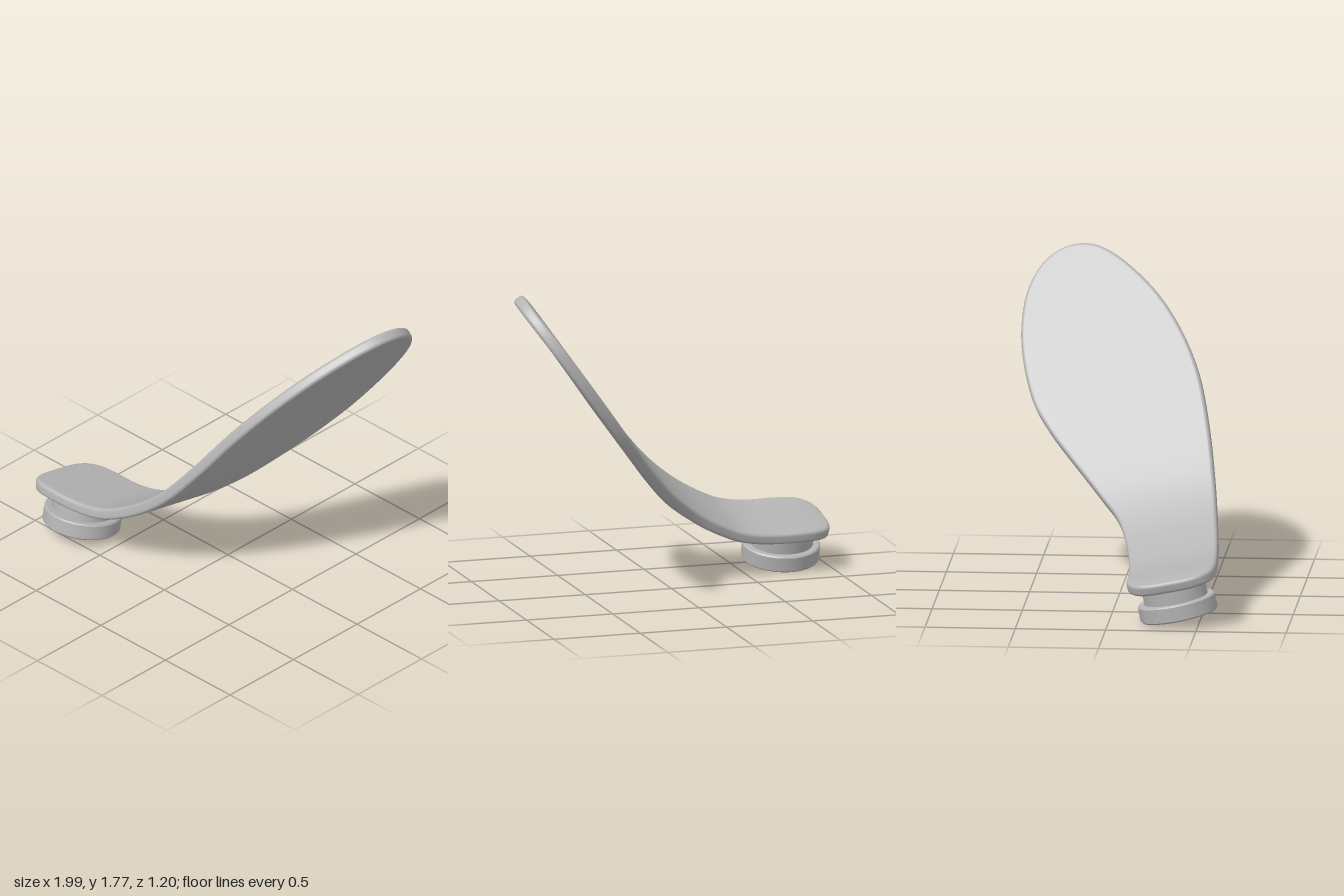
import * as THREE from 'three';
import { mergeVertices } from 'three/addons/utils/BufferGeometryUtils.js';

const TILT = 0.203;      // sideways slope of the whole part
const THICK = 0.066;     // plate thickness
const FILLET = 0.02;     // rounding of the plate rim

// Bend of the plate: height along its length
const BEND = [[-1.2, 0.225], [-0.8, 0.225], [-0.62, 0.226], [-0.5, 0.241], [-0.4, 0.272], [-0.2, 0.386],
  [0, 0.558], [0.2, 0.805], [0.4, 1.089], [0.6, 1.373], [0.8, 1.65], [0.95, 1.847], [1.1, 2.04]];

// Plan outline of the upper face, from the narrow end along the front to the tip and back
const OUTLINE = [[-1, 0.35], [-0.995, 0.46], [-0.965, 0.53], [-0.9, 0.575], [-0.8, 0.588], [-0.6, 0.582],
  [-0.4, 0.57], [-0.2, 0.55], [0, 0.522], [0.2, 0.478], [0.38, 0.415], [0.5, 0.345], [0.6, 0.265],
  [0.7, 0.165], [0.8, 0.035], [0.89, -0.11], [0.935, -0.22], [0.948, -0.32], [0.935, -0.42],
  [0.89, -0.51], [0.8, -0.58], [0.68, -0.602], [0.55, -0.58], [0.4, -0.51], [0.3, -0.42], [0.2, -0.31],
  [0.1, -0.2], [0, -0.1], [-0.1, -0.015], [-0.2, 0.032], [-0.4, 0.078], [-0.6, 0.094], [-0.8, 0.096],
  [-0.9, 0.115], [-0.965, 0.16], [-0.995, 0.235]];

// Smooth height of the bend at x
function bend(x) {
  let k = 1;
  while (k < BEND.length - 3 && x > BEND[k + 1][0]) k++;
  const slope = (i) => (BEND[i + 1][1] - BEND[i - 1][1]) / (BEND[i + 1][0] - BEND[i - 1][0]);
  const [x0, y0] = BEND[k], [x1, y1] = BEND[k + 1];
  const h = x1 - x0, t = (x - x0) / h, t2 = t * t, t3 = t2 * t;
  return y0 * (2 * t3 - 3 * t2 + 1) + y1 * (3 * t2 - 2 * t3)
    + h * (slope(k) * (t3 - 2 * t2 + t) + slope(k + 1) * (t3 - t2));
}
const bendSlope = (x) => (bend(x + 0.01) - bend(x - 0.01)) / 0.02;

// Point at a given depth below the upper face
function lift(x, z, depth) {
  const n = new THREE.Vector3(-bendSlope(x), 1, -TILT).normalize();
  return new THREE.Vector3(x, bend(x) + TILT * z, z).addScaledVector(n, -depth);
}

function plateGeometry() {
  const HALF = 80, N = HALF * 2, ACROSS = 12, ROUND = 5;
  const curve = new THREE.CatmullRomCurve3(OUTLINE.map(([x, z]) => new THREE.Vector3(x, 0, z)), true);
  curve.arcLengthDivisions = 800;
  const ring = curve.getSpacedPoints(N).slice(0, N);

  // Outline moved inward, measured along the bent surface
  const inset = (i, d) => {
    const p = ring[i % N], a = ring[(i + N - 1) % N], b = ring[(i + 1) % N];
    const tx = b.x - a.x, tz = b.z - a.z, l = Math.hypot(tx, tz);
    return [p.x + (d * tz / l) / Math.hypot(1, bendSlope(p.x)), p.z - d * tx / l];
  };

  // Rounded rim section as [inset, depth]
  const rim = [];
  for (let k = 0; k <= ROUND; k++) {
    const a = (k / ROUND) * Math.PI / 2;
    rim.push([FILLET * (1 - Math.sin(a)), FILLET * (1 - Math.cos(a))]);
  }
  for (let k = ROUND; k >= 0; k--) rim.push([rim[k][0], THICK - rim[k][1]]);

  const pos = [], index = [];
  const add = (v) => pos.push(v.x, v.y, v.z);
  const quad = (a, b, c, d) => index.push(a, b, c, a, c, d);

  for (const [d, depth] of rim) {
    for (let i = 0; i < N; i++) add(lift(...inset(i, d), depth));
  }
  for (let j = 0; j < rim.length - 1; j++) {
    for (let i = 0; i < N; i++) {
      const a = j * N + i, b = j * N + (i + 1) % N;
      quad(a, a + N, b + N, b);
    }
  }

  // Upper and lower faces, spanned between the two long sides
  for (const depth of [0, THICK]) {
    const base = pos.length / 3, row = ACROSS + 1;
    for (let i = 0; i <= HALF; i++) {
      const f = inset(i, FILLET), b = inset(N - i, FILLET);
      for (let s = 0; s <= ACROSS; s++) {
        const t = s / ACROSS;
        add(lift(f[0] + (b[0] - f[0]) * t, f[1] + (b[1] - f[1]) * t, depth));
      }
    }
    for (let i = 0; i < HALF; i++) {
      for (let s = 0; s < ACROSS; s++) {
        const a = base + i * row + s;
        if (depth === 0) quad(a, a + row, a + row + 1, a + 1);
        else quad(a, a + 1, a + row + 1, a + row);
      }
    }
  }

  let geo = new THREE.BufferGeometry();
  geo.setAttribute('position', new THREE.Float32BufferAttribute(pos, 3));
  geo.setIndex(index);
  geo = mergeVertices(geo, 1e-5);
  geo.computeVertexNormals();
  return geo;
}

export function createModel() {
  const group = new THREE.Group();
  group.name = 'paddleLever';
  const grey = new THREE.MeshStandardMaterial({ color: 0xb4b4b4 });
  grey.name = 'plainGrey';

  // Bent paddle plate
  const plate = new THREE.Mesh(plateGeometry(), grey);
  plate.name = 'paddlePlate';
  group.add(plate);

  // Round mounting foot, square to the tilted plate
  const foot = new THREE.Group();
  foot.name = 'mountingFoot';
  foot.position.set(-0.753, 0.045, 0.39);
  foot.rotation.x = -Math.atan(TILT);
  group.add(foot);

  const R = 0.217, H = 0.094, C = 0.008;
  const sections = [[0, 0], [R - C, 0], [R, C], [R, H - C], [R - C, H], [0, H]];
  for (let k = 0; k < sections.length - 1; k++) {
    const pts = [sections[k], sections[k + 1]].map(([r, y]) => new THREE.Vector2(r, y));
    const disc = new THREE.Mesh(new THREE.LatheGeometry(pts, 64), grey);
    disc.name = 'footDisc';
    foot.add(disc);
  }
  const stem = new THREE.Mesh(new THREE.CylinderGeometry(0.178, 0.178, 0.13, 64), grey);
  stem.name = 'footStem';
  stem.position.y = H + 0.06;
  foot.add(stem);

  return group;
}
